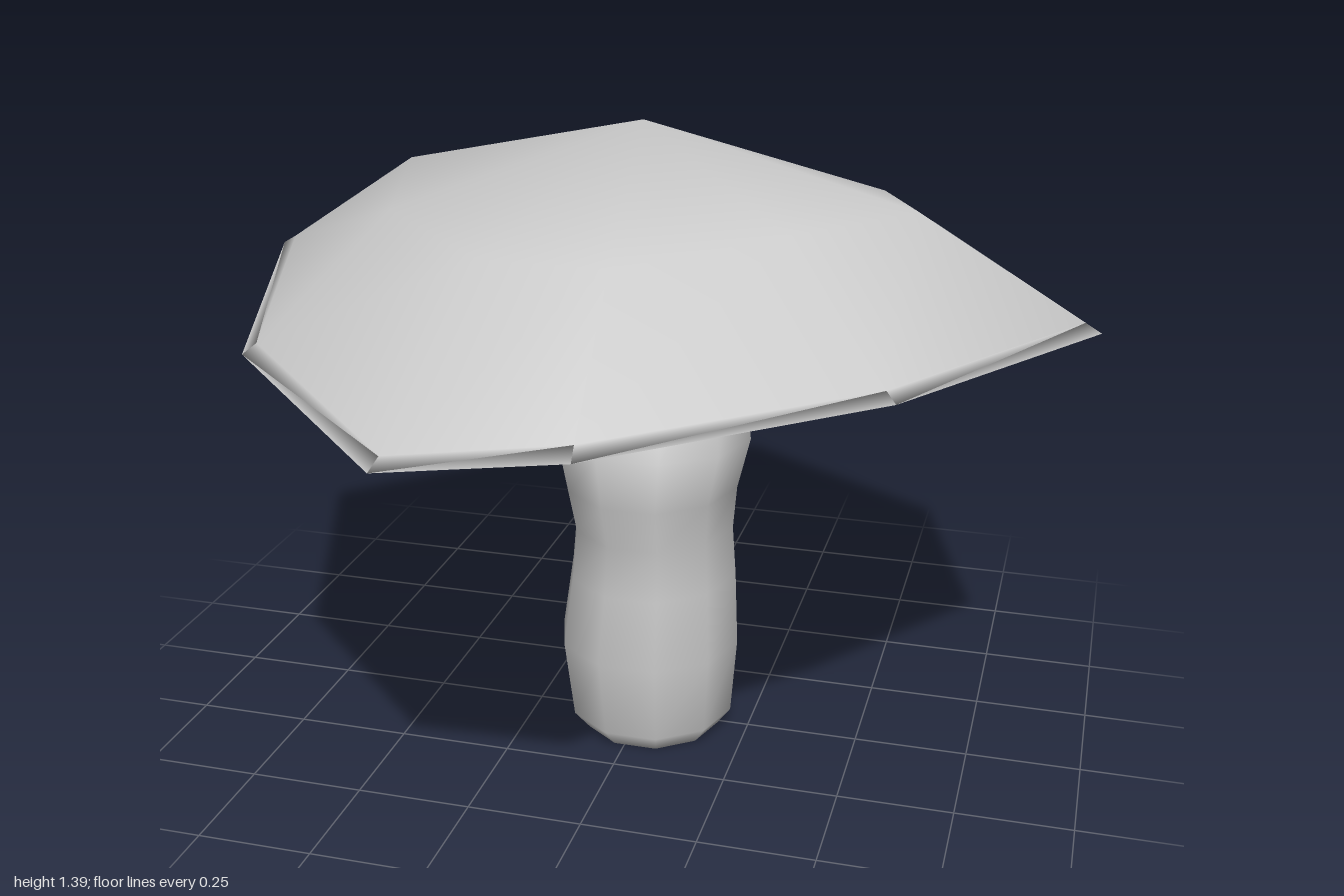
import * as THREE from 'three';
import { mergeVertices } from 'three/addons/utils/BufferGeometryUtils.js';

// Skin a stack of closed rings (bottom to top) with smooth normals.
function loft(name, rings) {
  const n = rings[0].length;
  const index = [];
  for (let i = 0; i < rings.length - 1; i++) {
    for (let j = 0; j < n; j++) {
      const k = (j + 1) % n;
      const a = i * n + j, b = i * n + k, c = a + n, d = b + n;
      index.push(a, c, b, b, c, d);
    }
  }
  let geo = new THREE.BufferGeometry();
  geo.setAttribute('position', new THREE.Float32BufferAttribute(rings.flat(2), 3));
  geo.setIndex(index);
  geo = mergeVertices(geo);
  geo.computeVertexNormals();
  const mesh = new THREE.Mesh(geo, new THREE.MeshStandardMaterial({ color: 0xcccccc, side: THREE.DoubleSide }));
  mesh.name = name;
  return mesh;
}

export function createModel() {
  const group = new THREE.Group();
  group.name = 'mushroom';

  // Uneven rim of the cap, and the shoulder ring above it
  const rim = [
    [0.17, 0.965, -1.0], [0.74, 0.88, -0.69], [0.96, 1.01, 0.02],
    [0.61, 0.98, 0.47], [0.15, 1.015, 0.995], [-0.23, 0.943, 0.955],
    [-0.68, 0.985, 0.53], [-0.965, 1.0, -0.25], [-0.51, 0.96, -0.77],
  ];
  const shoulder = [
    [0.11, 1.13, -0.62], [0.45, 1.17, -0.44], [0.58, 1.23, 0.0],
    [0.37, 1.24, 0.3], [0.1, 1.235, 0.6], [-0.15, 1.235, 0.6],
    [-0.43, 1.25, 0.34], [-0.58, 1.25, -0.14], [-0.33, 1.17, -0.48],
  ];
  const lip = rim.map(([x, y, z]) => [x * 0.965, y + 0.02, z * 0.965]);
  const collapse = (y) => rim.map(() => [0, y, 0]);
  const gillRing = rim.map(([x, , z]) => {
    const r = Math.hypot(x, z);
    return [(x / r) * 0.22, 0.875, (z / r) * 0.22];
  });

  // Cap: domed top, then the shallow underside with its thin lip
  group.add(loft('capTop', [lip, shoulder, collapse(1.39)]));
  group.add(loft('capUnderside', [collapse(0.89), gillRing, rim, lip]));

  // Stem: each row is height, left-most x, right-most x, back z, front z
  const sections = [
    [0.0, -0.13, 0.18, -0.15, 0.17],
    [0.04, -0.165, 0.21, -0.18, 0.2],
    [0.22, -0.185, 0.225, -0.19, 0.225],
    [0.38, -0.165, 0.215, -0.205, 0.21],
    [0.5, -0.15, 0.21, -0.175, 0.21],
    [0.6, -0.165, 0.22, -0.18, 0.235],
    [0.71, -0.195, 0.245, -0.21, 0.235],
    [0.92, -0.17, 0.21, -0.225, 0.165],
  ];
  const sides = 10;
  const ring = ([y, x0, x1, z0, z1], s = 1) =>
    Array.from({ length: sides }, (_, j) => {
      const a = (j / sides) * Math.PI * 2;
      return [
        (x0 + x1) / 2 + (s * Math.cos(a) * (x1 - x0)) / 2, y,
        (z0 + z1) / 2 + (s * Math.sin(a) * (z1 - z0)) / 2,
      ];
    });
  const last = sections[sections.length - 1];
  group.add(loft('stem', [
    ring(sections[0], 0), ...sections.map((s) => ring(s)), ring(last, 0),
  ]));

  return group;
}
